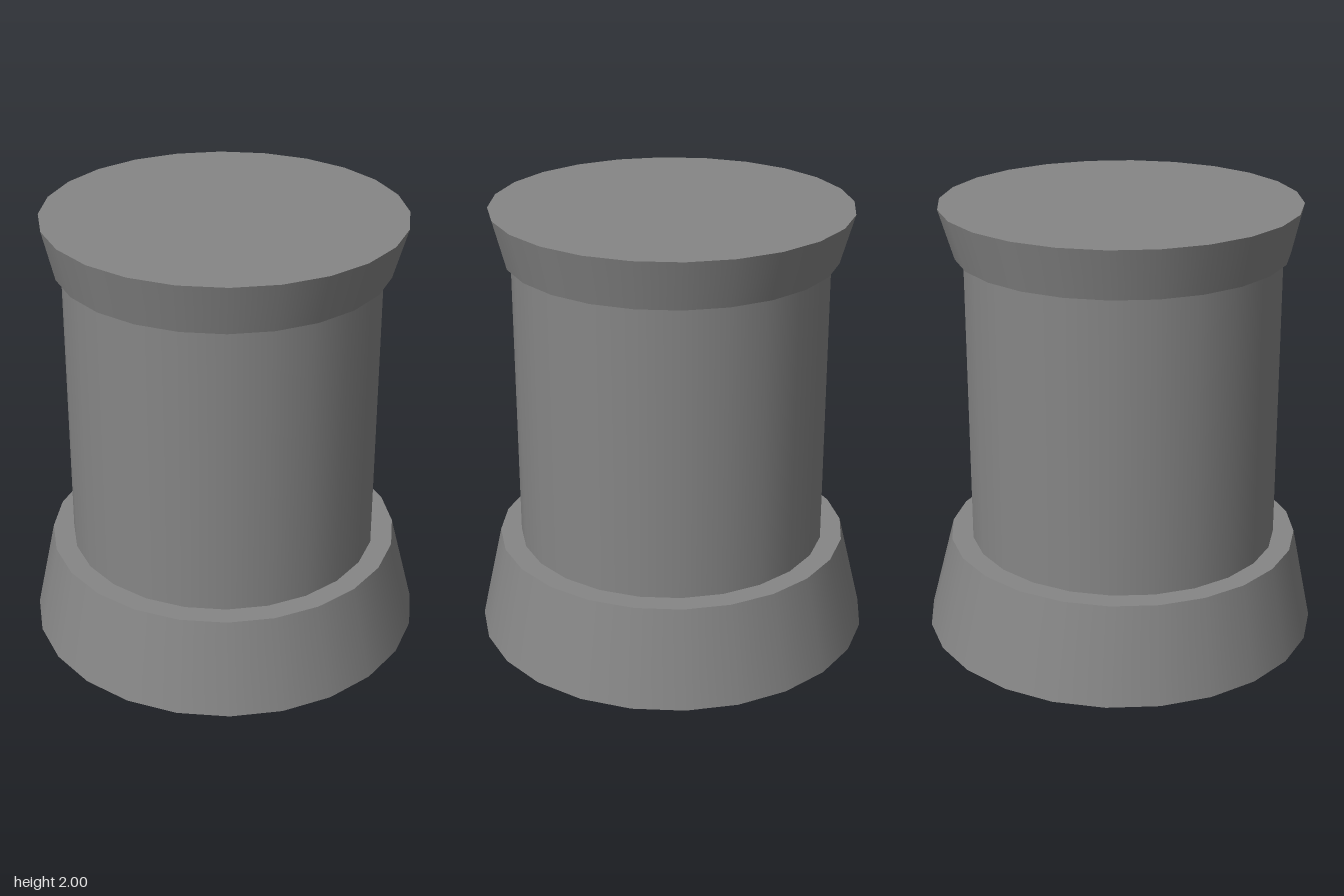
import * as THREE from 'three';

const SIDES = 24;
const material = new THREE.MeshStandardMaterial({ color: 0x868686 });

// Tapered drum given by its two rings { y, r, x }; tilt slopes it gently along x
function drum(name, bottom, top, tilt = 0) {
  const geometry = new THREE.CylinderGeometry(top.r, bottom.r, top.y - bottom.y, SIDES);
  const pos = geometry.attributes.position;
  for (let i = 0; i < pos.count; i++) {
    const ring = pos.getY(i) > 0 ? top : bottom;
    const x = pos.getX(i) + ring.x;
    pos.setX(i, x);
    pos.setY(i, ring.y + tilt * x);
  }
  geometry.computeBoundingSphere();
  const mesh = new THREE.Mesh(geometry, material);
  mesh.name = name;
  return mesh;
}

export function createModel() {
  const group = new THREE.Group();
  group.name = 'column';
  group.add(
    // Wide foot narrowing upwards
    drum('base', { y: 0.005, r: 0.9, x: 0 }, { y: 0.441, r: 0.8, x: -0.013 }, 0.005),
    // Straight middle, set slightly off centre
    drum('shaft', { y: 0.435, r: 0.703, x: -0.014 }, { y: 1.785, r: 0.703, x: -0.014 }),
    // Flared top
    drum('cap', { y: 1.776, r: 0.737, x: -0.012 }, { y: 1.998, r: 0.796, x: -0.004 }, -0.003)
  );
  return group;
}
